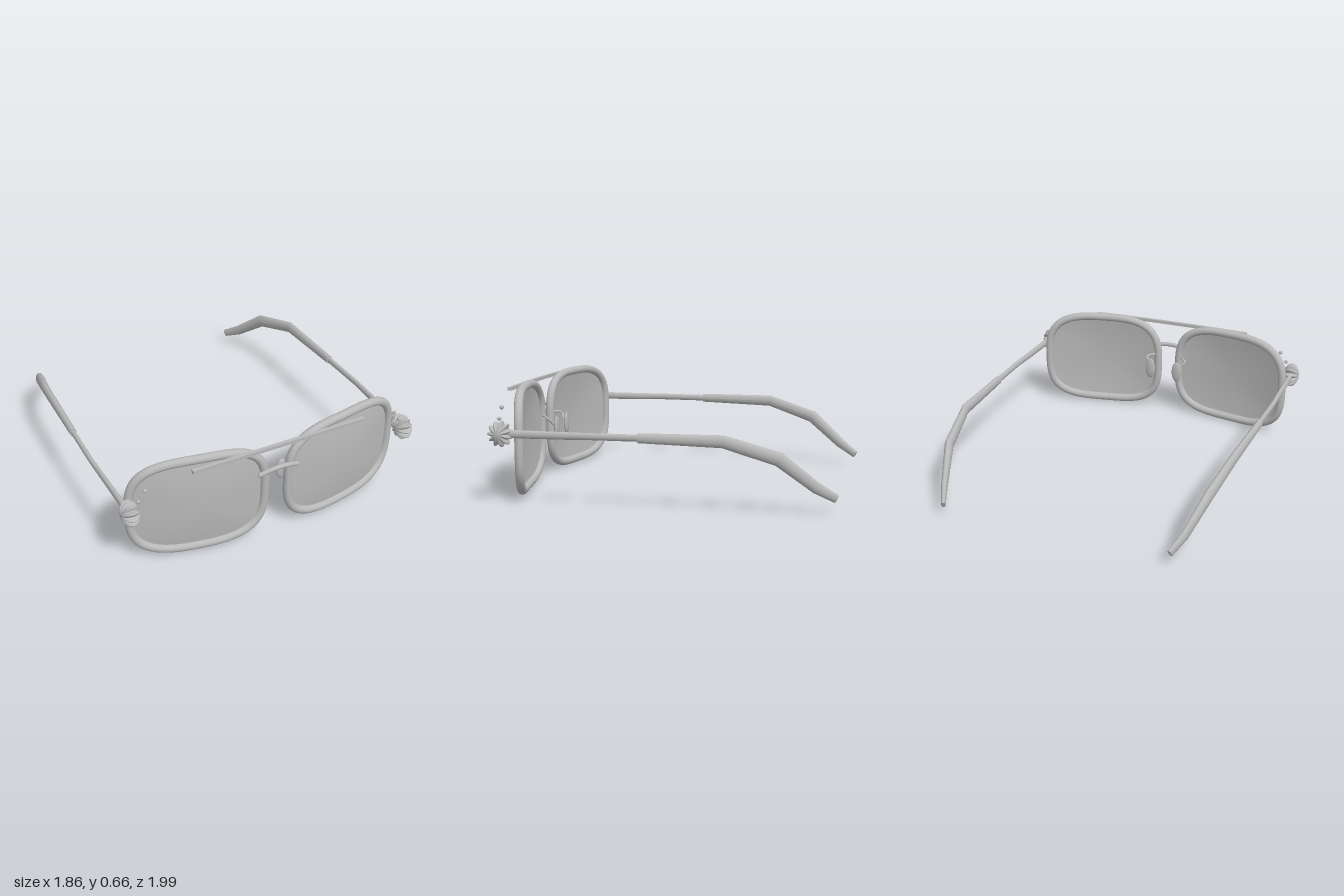
import * as THREE from 'three';

const V = (x, y, z) => new THREE.Vector3(x, y, z);

// Forward sweep of the front: falls back towards the temples
const wrap = (x) => 0.948 - 0.2 * x * x;

// Point on the rounded-rectangle eye outline, s scales it about its centre
function outline(angle, s = 1) {
  const power = 2 / 3.2;
  const c = Math.cos(angle), n = Math.sin(angle);
  const x = 0.46 + s * 0.385 * Math.sign(c) * Math.abs(c) ** power;
  const y = 0.331 + s * 0.303 * Math.sign(n) * Math.abs(n) ** power;
  return V(x, y, wrap(x));
}

// Oval cross-sections [x, y, z, halfWidth, halfHeight] skinned along a path
function loft(sections, sides = 20) {
  const centres = sections.map(([x, y, z]) => V(x, y, z));
  const last = centres.length - 1;
  const rings = sections.map(([, , , a, b], i) => {
    const t = centres[Math.min(i + 1, last)].clone().sub(centres[Math.max(i - 1, 0)]).normalize();
    const side = V(0, 1, 0).cross(t).normalize();
    const up = t.clone().cross(side);
    return Array.from({ length: sides + 1 }, (_, j) => {
      const q = (j / sides) * Math.PI * 2;
      return centres[i].clone().addScaledVector(side, a * Math.cos(q)).addScaledVector(up, b * Math.sin(q));
    });
  });
  // Separate end rings keep the cap edges sharp
  const point = (p) => Array.from({ length: sides + 1 }, () => p);
  const all = [point(centres[0]), rings[0], ...rings, rings[last], point(centres[last])];
  const index = [];
  for (let i = 0; i < all.length - 1; i++) {
    for (let j = 0; j < sides; j++) {
      const a = i * (sides + 1) + j, c = a + sides + 1;
      index.push(a, a + 1, c, a + 1, c + 1, c);
    }
  }
  const g = new THREE.BufferGeometry().setFromPoints(all.flat());
  g.setIndex(index);
  g.computeVertexNormals();
  return g;
}

// Domed lens filling the outline
function lensGeometry() {
  const g = new THREE.RingGeometry(0.001, 1, 96, 10);
  const p = g.attributes.position;
  for (let i = 0; i < p.count; i++) {
    const r = Math.hypot(p.getX(i), p.getY(i));
    const v = outline(Math.atan2(p.getY(i), p.getX(i)), r * 0.98);
    p.setXYZ(i, v.x, v.y, v.z + 0.022 * (1 - r * r));
  }
  g.computeVertexNormals();
  return g;
}

// Ball with ribs running from pole to pole along x
function ribbedBall() {
  const g = new THREE.SphereGeometry(1, 132, 24);
  g.rotateZ(-Math.PI / 2);
  const p = g.attributes.position;
  for (let i = 0; i < p.count; i++) {
    const q = Math.atan2(p.getY(i), p.getZ(i));
    const k = 0.077 * (0.85 + 0.15 * Math.cos(11 * q));
    p.setXYZ(i, p.getX(i) * 0.052, p.getY(i) * k, p.getZ(i) * k);
  }
  g.computeVertexNormals();
  return g;
}

export function createModel() {
  const model = new THREE.Group();
  model.name = 'glasses';
  const grey = new THREE.MeshStandardMaterial({ color: 0xb8b8b8, side: THREE.DoubleSide });
  grey.name = 'plainGrey';

  const add = (parent, name, geometry, x = 0, y = 0, z = 0) => {
    const mesh = new THREE.Mesh(geometry, grey);
    mesh.name = name;
    mesh.position.set(x, y, z);
    parent.add(mesh);
    return mesh;
  };
  const tube = (points, radius, segments = 32, closed = false) =>
    new THREE.TubeGeometry(new THREE.CatmullRomCurve3(points, closed), segments, radius, 16, closed);

  for (const s of [1, -1]) {
    const half = new THREE.Group();
    half.name = s > 0 ? 'leftHalf' : 'rightHalf';
    half.scale.x = s;
    model.add(half);

    // Rim and lens
    const path = Array.from({ length: 72 }, (_, i) => outline((i / 72) * Math.PI * 2));
    add(half, 'rim', tube(path, 0.026, 160, true));
    add(half, 'lens', lensGeometry());

    // Nose pad on its bent wire
    const pad = add(half, 'nosePad', new THREE.SphereGeometry(1, 24, 16), 0.095, 0.33, 0.842);
    pad.scale.set(0.034, 0.07, 0.014);
    add(half, 'nosePadArm', tube(
      [V(0.095, 0.34, 0.85), V(0.11, 0.36, 0.868), V(0.138, 0.39, 0.888), V(0.12, 0.4, 0.91), V(0.085, 0.4, 0.94)], 0.007));

    // Hinge ornament and studs
    add(half, 'hingeOrnament', ribbedBall(), 0.878, 0.41, 0.903);
    for (const [x, y] of [[0.795, 0.55], [0.835, 0.49]]) {
      add(half, 'stud', new THREE.SphereGeometry(0.012, 16, 12), x, y, 0.924);
    }

    // Temple wire and its thicker bent tip
    add(half, 'temple', loft([
      [0.882, 0.412, 0.88, 0.016, 0.024], [0.887, 0.413, 0.54, 0.014, 0.022],
      [0.89, 0.415, 0.4, 0.014, 0.02], [0.882, 0.415, 0.05, 0.014, 0.02],
    ]));
    add(half, 'templeTip', loft([
      [0.883, 0.415, 0.095, 0.02, 0.028], [0.868, 0.41, -0.38, 0.023, 0.036],
      [0.818, 0.315, -0.68, 0.026, 0.04], [0.748, 0.15, -0.88, 0.019, 0.032],
      [0.7, 0.085, -0.985, 0.013, 0.024],
    ]));
  }

  // Straight brow bar, bowed very slightly
  const bar = new THREE.BoxGeometry(1.08, 0.02, 0.022, 24, 1, 1);
  const p = bar.attributes.position;
  for (let i = 0; i < p.count; i++) {
    const u = p.getX(i) / 0.54;
    p.setY(i, p.getY(i) + 0.004 * (1 - u * u));
    p.setZ(i, p.getZ(i) + 0.006 * (1 - u * u));
  }
  bar.computeVertexNormals();
  add(model, 'browBar', bar, 0, 0.623, 0.977);

  // Arched bridge with rounded ends
  const bridge = [V(-0.118, 0.445, 0.968), V(-0.06, 0.463, 0.976), V(0, 0.469, 0.978), V(0.06, 0.463, 0.976), V(0.118, 0.445, 0.968)];
  add(model, 'bridge', tube(bridge, 0.014));
  for (const end of [bridge[0], bridge[4]]) {
    add(model, 'bridgeEnd', new THREE.SphereGeometry(0.014, 16, 12), end.x, end.y, end.z);
  }
  return model;
}
